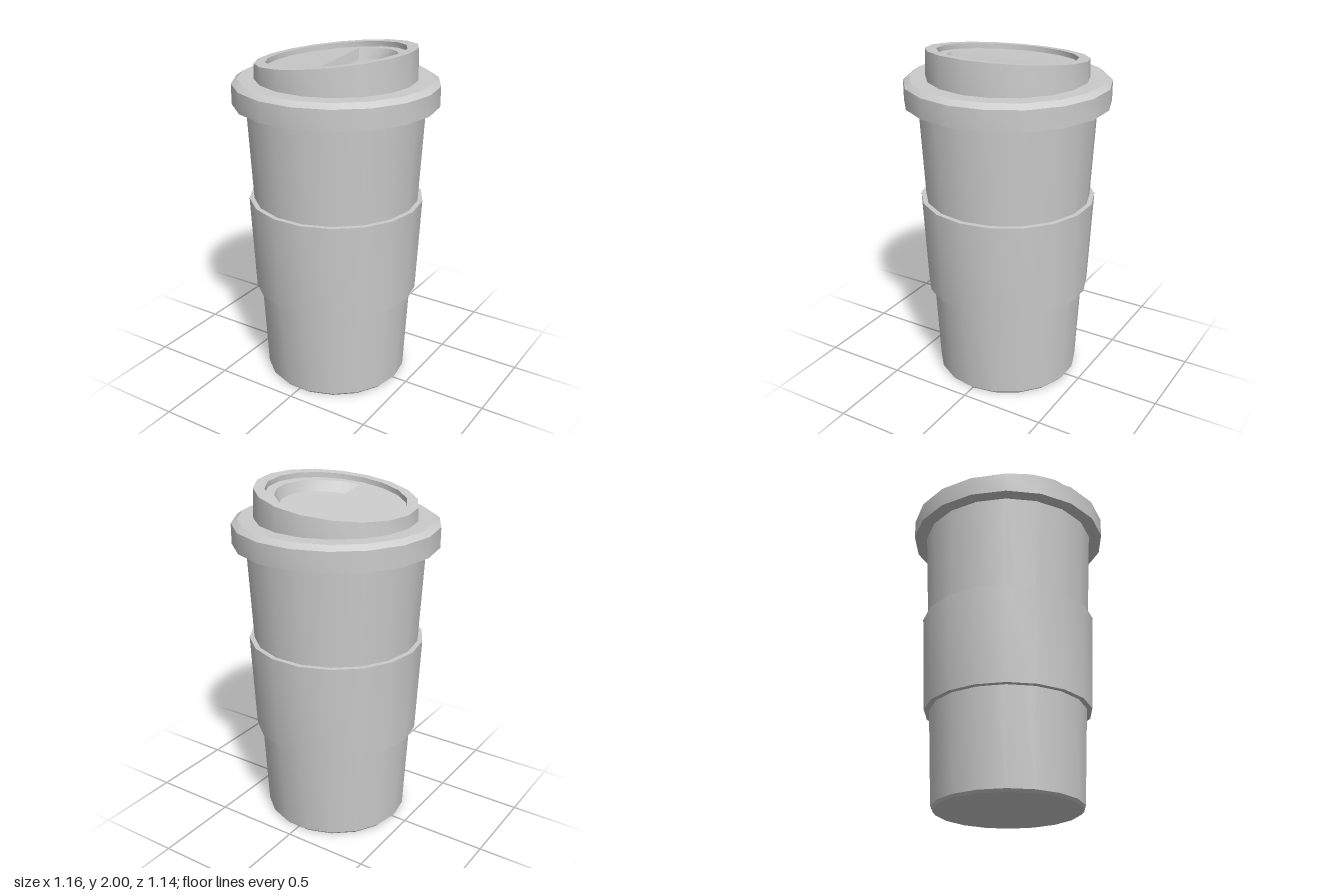
import * as THREE from 'three';
import { toCreasedNormals } from 'three/addons/utils/BufferGeometryUtils.js';

const SIDES = 18;
const CREASE = 0.45;
const SLOPE = 0.122; // rise of the slanted lid top along x
const TOP = 1.945; // lid top height at x = 0
const FLOOR = TOP - 0.03;
const POCKET_DEPTH = 0.06;

const material = new THREE.MeshStandardMaterial({ color: 0xcccccc });

function addMesh(group, name, geometry) {
  const mesh = new THREE.Mesh(toCreasedNormals(geometry, CREASE), material);
  mesh.name = name;
  group.add(mesh);
}

// Revolved profile with a corner on the x axis
function turned(profile) {
  const points = profile.map(([r, y]) => new THREE.Vector2(r, y));
  return new THREE.LatheGeometry(points, SIDES, Math.PI / 2);
}

// Tilt every vertex above minY to follow the slanted top
function slant(geometry, minY = -Infinity) {
  const p = geometry.attributes.position;
  for (let i = 0; i < p.count; i++) {
    if (p.getY(i) > minY) p.setY(i, p.getY(i) + SLOPE * p.getX(i));
  }
  return geometry;
}

// Corners of a circle in 20 degree steps, from step a to step b
function arc(radius, a, b) {
  const points = [];
  for (let i = a; i <= b; i++) {
    const t = (i * 2 * Math.PI) / SIDES;
    points.push(new THREE.Vector2(radius * Math.cos(t), radius * Math.sin(t)));
  }
  return points;
}

// Upward-facing slanted plate at height y
function plate(outline, y, hole) {
  const shape = new THREE.Shape(outline);
  if (hole) shape.holes.push(new THREE.Path(hole));
  return slant(new THREE.ShapeGeometry(shape).rotateX(-Math.PI / 2).translate(0, y, 0));
}

// Inward-facing wall joining an upper outline to a lower one
function pocketWall(upper, lower, yTop, yBottom) {
  const v = [];
  const put = (q, y) => v.push(q.x, y, -q.y);
  const n = upper.length;
  for (let i = 0; i < n; i++) {
    const j = (i + 1) % n;
    put(upper[i], yTop); put(upper[j], yTop); put(lower[j], yBottom);
    put(upper[i], yTop); put(lower[j], yBottom); put(lower[i], yBottom);
  }
  const g = new THREE.BufferGeometry();
  g.setAttribute('position', new THREE.Float32BufferAttribute(v, 3));
  return slant(g);
}

export function createModel() {
  const model = new THREE.Group();
  model.name = 'travelCup';

  // Tapered cup with a small bevel at the foot
  addMesh(model, 'cup', turned([[0, 0], [0.408, 0], [0.422, 0.015], [0.505, 1.69]]));

  // Grip sleeve
  addMesh(model, 'sleeve', turned([[0.44, 0.56], [0.479, 0.56], [0.505, 1.12], [0.465, 1.12]]));

  const lid = new THREE.Group();
  lid.name = 'lid';
  model.add(lid);

  // Lid flange, raised slanted collar and its inner lip
  addMesh(lid, 'lidRim', slant(turned([
    [0.48, 1.68], [0.58, 1.68], [0.58, 1.795], [0.545, 1.82], [0.456, 1.82],
    [0.452, TOP], [0.39, TOP], [0.39, FLOOR],
  ]), 1.83));

  // Recessed lid surface with a half-round sipping pocket
  const pocket = arc(0.34, -4, 5);
  const pocketBase = pocket.map((q) => new THREE.Vector2(0.17 + (q.x - 0.17) * 0.88, q.y * 0.88));
  addMesh(lid, 'lidSurface', plate(arc(0.39, 0, SIDES - 1), FLOOR, pocket));
  addMesh(lid, 'pocketWall', pocketWall(pocket, pocketBase, FLOOR, FLOOR - POCKET_DEPTH));
  addMesh(lid, 'pocketFloor', plate(pocketBase, FLOOR - POCKET_DEPTH));

  return model;
}
